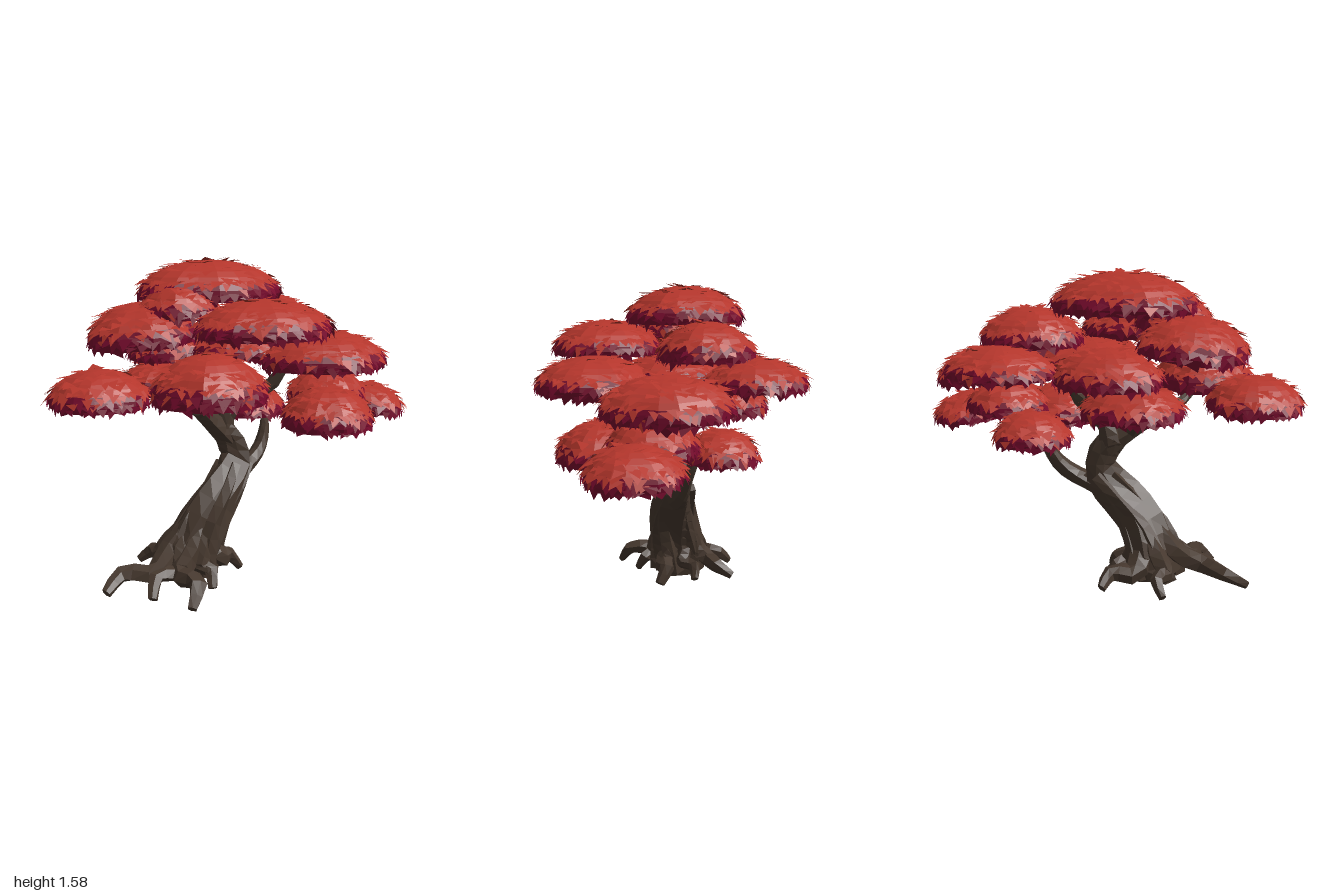
import * as THREE from 'three';
import { mergeGeometries } from 'three/addons/utils/BufferGeometryUtils.js';

const mat = (name, color, side = THREE.FrontSide) =>
  Object.assign(new THREE.MeshStandardMaterial({ color, side, flatShading: true }), { name });

let seed = 7;
const rand = () => (seed = (seed * 16807) % 2147483647) / 2147483647;
const span = (a, b) => a + (b - a) * rand();
const V = (x, y, z) => new THREE.Vector3(x, y, z);

// Tapered, slightly gnarled limb: points are [x, y, z, radius]
function limb(points, sides = 7, rings = 9) {
  const curve = new THREE.CatmullRomCurve3(points.map(p => V(p[0], p[1], p[2])));
  const frames = curve.computeFrenetFrames(rings, false);
  const pos = [], idx = [];
  for (let i = 0; i <= rings; i++) {
    const t = i / rings, k = t * (points.length - 1), j = Math.min(Math.floor(k), points.length - 2);
    const r = THREE.MathUtils.lerp(points[j][3], points[j + 1][3], k - j);
    const c = curve.getPoint(t);
    for (let s = 0; s < sides; s++) {
      const a = (s / sides) * Math.PI * 2 + t * 0.8;
      const rr = r * (1 + 0.16 * Math.sin(s * 2.4 + i * 0.5));
      const p = c.clone().addScaledVector(frames.normals[i], Math.cos(a) * rr)
        .addScaledVector(frames.binormals[i], Math.sin(a) * rr);
      pos.push(p.x, Math.max(p.y, 0.004), p.z);
      if (i < rings) {
        const n = (s + 1) % sides, o = i * sides, q = o + sides;
        idx.push(o + s, o + n, q + s, o + n, q + n, q + s);
      }
    }
  }
  // End caps
  const last = rings * sides;
  for (let s = 1; s < sides - 1; s++) idx.push(0, s + 1, s, last, last + s, last + s + 1);
  const g = new THREE.BufferGeometry();
  g.setAttribute('position', new THREE.Float32BufferAttribute(pos, 3));
  g.setIndex(idx);
  const flat = g.toNonIndexed();
  flat.computeVertexNormals();
  return flat;
}

// Foliage pads: x, z, bottom, top, radius x, radius z, optional sideways tilt
const PADS = [
  [-0.14, -0.04, 1.35, 1.57, 0.36, 0.29],
  [-0.36, 0.06, 1.28, 1.47, 0.18, 0.18],
  [-0.49, -0.05, 1.16, 1.38, 0.25, 0.27, 0.1],
  [-0.09, 0.35, 1.20, 1.40, 0.33, 0.27],
  [0.28, -0.19, 1.19, 1.40, 0.25, 0.22],
  [0.26, 0.34, 1.04, 1.24, 0.31, 0.28],
  [0.05, 0.00, 1.08, 1.24, 0.27, 0.25],
  [0.32, -0.42, 1.07, 1.24, 0.26, 0.23],
  [0.62, -0.05, 0.98, 1.18, 0.23, 0.29, -0.12],
  [-0.41, 0.40, 0.93, 1.18, 0.25, 0.24],
  [-0.77, 0.06, 0.91, 1.10, 0.22, 0.22],
  [-0.27, -0.24, 0.89, 1.08, 0.24, 0.22],
  [-0.17, -0.31, 1.04, 1.24, 0.26, 0.20],
  [0.35, 0.28, 0.72, 0.95, 0.23, 0.22],
  [0.55, 0.02, 0.80, 1.00, 0.21, 0.20],
  [0.79, 0.06, 0.73, 0.91, 0.19, 0.21, -0.1],
  [0.25, -0.26, 0.72, 0.90, 0.19, 0.17],
];

function foliagePad([cx, cz, y0, y1, rx, rz, tilt = 0], red, crimson) {
  const pad = new THREE.Group();
  pad.name = 'foliagePad';
  pad.position.set(cx, y0, cz);
  pad.rotation.z = tilt;
  const H = y1 - y0, base = 0.3 * H, split = 1.2, hem = 1.86, phase = span(0, 6);
  const bump = a => 1 + 0.03 * Math.sin(5 * a + phase) + 0.02 * Math.sin(8 * a - phase);
  const cap = c => Math.sign(c) * Math.abs(c) ** 1.15;
  const at = (t, a) => V(Math.sin(t) * Math.cos(a) * rx * bump(a),
    base + cap(Math.cos(t)) * 0.7 * H, Math.sin(t) * Math.sin(a) * rz * bump(a));

  // Part of a bumpy dome between two polar angles
  const shell = (from, to, rows, k, rise) => {
    const g = new THREE.SphereGeometry(1, 20, rows, 0, Math.PI * 2, from, to - from);
    const p = g.attributes.position;
    for (let i = 0; i < p.count; i++) {
      const x = p.getX(i), z = p.getZ(i), b = bump(Math.atan2(z, x)) * k;
      p.setXYZ(i, x * rx * b, base + cap(p.getY(i)) * rise * H, z * rz * b);
    }
    g.computeVertexNormals();
    return g;
  };
  const add = (name, g, m) => {
    const mesh = new THREE.Mesh(g, m);
    mesh.name = name;
    pad.add(mesh);
  };

  // Pointed leaves lying down the slope, with raised or hanging tips
  const leaves = (count, tMin, tMax, len, lift, droop) => {
    const pos = [];
    for (let i = 0; i < count; i++) {
      const c = THREE.MathUtils.lerp(Math.cos(tMin), Math.cos(tMax), rand());
      const t = Math.acos(c), a = (i + rand()) / count * Math.PI * 2;
      const w = span(0.02, 0.036), size = len * span(0.7, 1.3);
      const p = at(t, a);
      const out = V(Math.cos(a), 0, Math.sin(a));
      const side = V(-Math.sin(a), span(-0.2, 0.2), Math.cos(a));
      const down = at(t + 0.1, a).sub(p).normalize();
      const tip = p.clone().addScaledVector(down, size).addScaledVector(side, span(-0.03, 0.03))
        .addScaledVector(out, lift * span(0.2, 1));
      tip.y += lift * span(0, 1) - droop;
      const l = p.clone().addScaledVector(side, -w), r = p.clone().addScaledVector(side, w);
      pos.push(...l.toArray(), ...tip.toArray(), ...r.toArray());
    }
    const g = new THREE.BufferGeometry();
    g.setAttribute('position', new THREE.Float32BufferAttribute(pos, 3));
    g.computeVertexNormals();
    return g;
  };

  const n = Math.round((rx + rz) * 90);
  add('crown', shell(0, split, 6, 1, 0.7), red);
  add('skirt', shell(split, hem, 3, 1, 0.7), crimson);
  add('underside', shell(0, Math.PI / 2, 4, 0.97, 0.25), crimson);
  add('crownLeaves', leaves(n * 2, 0.1, split, 0.045, 0.022, 0), red);
  add('crownFringe', leaves(n, split - 0.12, split + 0.06, 0.045, 0.018, 0), red);
  add('strayRedLeaves', leaves(Math.round(n * 0.3), split, 1.5, 0.045, 0.018, 0), red);
  add('skirtLeaves', leaves(n, split + 0.1, 1.6, 0.045, 0.016, 0.004), crimson);
  add('skirtFringe', leaves(n, 1.6, 1.82, 0.035, 0.022, 0.006), crimson);
  return pad;
}

export function createModel() {
  const tree = new THREE.Group();
  tree.name = 'tree';
  const bark = mat('bark', 0x46382e);
  const red = mat('redLeaf', 0xb5362c, THREE.DoubleSide);
  const crimson = mat('crimsonLeaf', 0x760a2c, THREE.DoubleSide);
  const wood = (name, parts) => {
    const mesh = new THREE.Mesh(mergeGeometries(parts), bark);
    mesh.name = name;
    tree.add(mesh);
  };

  // Leaning trunk with ridges twisting up it
  const spine = [[-0.31, 0.05, 0.02, 0.13], [-0.28, 0.17, 0.02, 0.13], [-0.22, 0.31, 0.03, 0.115],
    [-0.11, 0.44, 0.02, 0.1], [-0.01, 0.56, -0.01, 0.085], [-0.03, 0.68, -0.02, 0.07], [-0.10, 0.76, -0.02, 0.055]];
  const trunk = [limb(spine, 9, 12)];
  for (let k = 0; k < 5; k++) {
    trunk.push(limb(spine.slice(0, 5).map(([x, y, z, r], i) => {
      const a = k * 1.257 + i * 0.22;
      return [x + Math.cos(a) * r * 0.8, y, z + Math.sin(a) * r * 0.8, r * 0.38];
    }), 5, 8));
  }
  wood('trunk', trunk);

  // Branches reaching under the pads
  wood('branches', [
    [[-0.05, 0.70, -0.02, 0.06], [-0.18, 0.80, 0.02, 0.045], [-0.28, 0.87, 0.07, 0.037], [-0.38, 0.93, 0.14, 0.026], [-0.42, 0.99, 0.24, 0.012]],
    [[-0.16, 0.79, 0, 0.035], [-0.24, 0.88, -0.10, 0.026], [-0.28, 0.97, -0.2, 0.012]],
    [[-0.08, 0.72, -0.02, 0.062], [-0.05, 0.82, -0.02, 0.055], [0.04, 0.89, 0, 0.046], [0.16, 0.95, 0.05, 0.036], [0.22, 1.09, 0.12, 0.02]],
    [[-0.03, 0.83, -0.02, 0.045], [0.02, 0.92, -0.04, 0.038], [0.0, 1.03, -0.06, 0.03], [-0.02, 1.11, -0.07, 0.014]],
    [[-0.06, 0.48, 0, 0.06], [0.07, 0.52, -0.03, 0.048], [0.18, 0.59, -0.07, 0.038], [0.24, 0.69, -0.11, 0.028], [0.27, 0.80, -0.16, 0.014]],
  ].map(p => limb(p, 7, 9)));

  // Kinked roots flowing off the flare: end x, end y, end z, radius
  wood('roots', [
    [-0.77, 0.05, 0.06, 0.05], [-0.49, 0.02, 0.37, 0.05], [-0.14, 0.06, -0.29, 0.05],
    [-0.04, 0.03, 0.08, 0.05], [-0.44, 0.05, -0.25, 0.045], [-0.30, 0.03, 0.24, 0.045],
    [-0.60, 0.03, 0.2, 0.045], [-0.08, 0.05, -0.1, 0.04],
  ].map(([x, y, z, r], i) => {
    const bx = -0.3, bz = 0.02, dx = x - bx, dz = z - bz, bend = i % 2 ? 0.12 : -0.12;
    const along = (f, h, k, rad) => [bx + dx * f - dz * bend * k, h, bz + dz * f + dx * bend * k, rad];
    const s = 0.09 / Math.hypot(dx, dz);
    return limb([[-0.25 + dx * s * 0.7, 0.30, 0.02 + dz * s * 0.7, r * 0.7], along(s * 1.2, 0.18, 0, r * 1.2),
      along(Math.max(0.5, s * 1.6), 0.11, 1, r), along(0.76, 0.11, -0.6, r * 0.8), along(1, y, 0, r * 0.45)], 6, 9);
  }));

  PADS.forEach(p => tree.add(foliagePad(p, red, crimson)));
  return tree;
}
